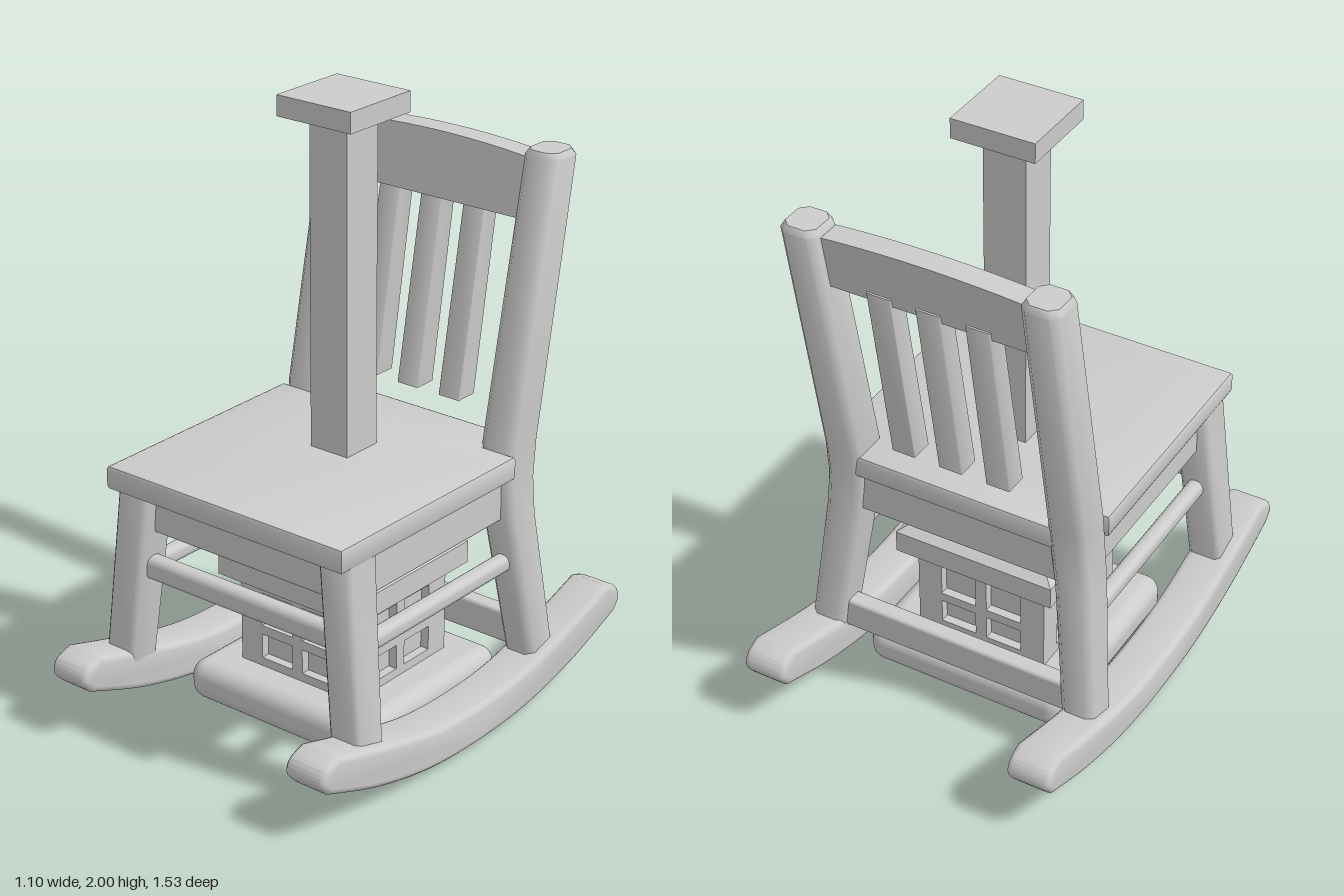
import * as THREE from 'three';
import { toCreasedNormals } from 'three/addons/utils/BufferGeometryUtils.js';
import { RoundedBoxGeometry } from 'three/addons/geometries/RoundedBoxGeometry.js';

const grey = new THREE.MeshStandardMaterial({ color: 0xcccccc });
grey.name = 'plain grey';

export function createModel() {
  const model = new THREE.Group();
  const chair = new THREE.Group();
  chair.name = 'rockingChair';
  const lamp = new THREE.Group();
  lamp.name = 'lampPost';
  model.add(chair, lamp);

  function add(parent, name, geometry, x = 0, y = 0, z = 0) {
    const mesh = new THREE.Mesh(geometry, grey);
    mesh.name = name;
    mesh.position.set(x, y, z);
    parent.add(mesh);
    return mesh;
  }

  const box = (w, h, d, r = 0.012) => new RoundedBoxGeometry(w, h, d, 2, r);

  // Upright bar through chamfered rectangles [y, x, z, width, depth], bottom to top
  function bar(sections, c) {
    const pos = [], index = [];
    const n = 8;
    for (const [y, x, z, w, d] of sections) {
      const a = w / 2, b = d / 2;
      const ring = [[a, b - c], [a, c - b], [a - c, -b], [c - a, -b],
        [-a, c - b], [-a, b - c], [c - a, b], [a - c, b]];
      for (const [px, pz] of ring) pos.push(x + px, y, z + pz);
    }
    for (let i = 0; i < sections.length - 1; i++) {
      for (let j = 0; j < n; j++) {
        const p = i * n + j, q = i * n + (j + 1) % n;
        index.push(p, q, p + n, q, q + n, p + n);
      }
    }
    const top = (sections.length - 1) * n;
    for (let j = 1; j < n - 1; j++) {
      index.push(0, j + 1, j, top, top + j, top + j + 1);
    }
    const g = new THREE.BufferGeometry();
    g.setAttribute('position', new THREE.Float32BufferAttribute(pos, 3));
    g.setIndex(index);
    return toCreasedNormals(g, 0.9);
  }

  // Seat board, notched around the back posts
  const seatShape = new THREE.Shape([
    [-0.45, -0.565], [0.45, -0.565], [0.455, 0.25], [0.335, 0.25],
    [0.335, 0.38], [-0.335, 0.38], [-0.335, 0.25], [-0.455, 0.25],
  ].map(([x, y]) => new THREE.Vector2(x, y)));
  const seat = new THREE.ExtrudeGeometry(seatShape, {
    depth: 0.056, bevelThickness: 0.012, bevelSize: 0.012, bevelSegments: 2,
  });
  seat.rotateX(-Math.PI / 2);
  add(chair, 'seat', toCreasedNormals(seat, 0.6), 0, 0.8, 0);

  // Rocker outline in z and y
  const v = ([x, y]) => new THREE.Vector2(x, y);
  const rockerShape = new THREE.Shape();
  rockerShape.moveTo(0.735, 0.165);
  rockerShape.splineThru([[0.768, 0.205], [0.75, 0.25], [0.69, 0.272]].map(v));
  rockerShape.splineThru([[0.45, 0.205], [0.22, 0.152], [0, 0.138], [-0.22, 0.152],
    [-0.45, 0.205], [-0.69, 0.278]].map(v));
  rockerShape.splineThru([[-0.745, 0.255], [-0.765, 0.21], [-0.735, 0.165]].map(v));
  rockerShape.splineThru([[-0.5, 0.08], [-0.25, 0.025], [0, 0.01], [0.25, 0.025],
    [0.5, 0.08], [0.735, 0.165]].map(v));
  const rocker = new THREE.ExtrudeGeometry(rockerShape, {
    depth: 0.11, bevelThickness: 0.02, bevelSize: 0.02, bevelOffset: -0.02,
    bevelSegments: 3, curveSegments: 24,
  });
  rocker.translate(0, 0, -0.055).rotateY(-Math.PI / 2);
  const rockerGeometry = toCreasedNormals(rocker, 0.7);

  for (const s of [1, -1]) {
    const side = s > 0 ? 'left' : 'right';
    add(chair, side + 'Rocker', rockerGeometry, s * 0.475, 0, 0);
    add(chair, side + 'FrontLeg', bar([
      [0.17, s * 0.46, 0.502, 0.115, 0.125],
      [0.81, s * 0.395, 0.47, 0.12, 0.14],
    ], 0.015), 0, 0, 0);
    // One piece forms the splayed back leg and the leaning back post
    add(chair, side + 'BackPost', bar([
      [0.15, s * 0.462, -0.375, 0.115, 0.135],
      [0.64, s * 0.408, -0.32, 0.125, 0.145],
      [0.76, s * 0.396, -0.32, 0.127, 0.15],
      [0.88, s * 0.393, -0.332, 0.127, 0.155],
      [1.765, s * 0.393, -0.507, 0.127, 0.135],
      [1.785, s * 0.393, -0.507, 0.105, 0.115],
    ], 0.024));
    add(chair, side + 'Apron', box(0.045, 0.16, 0.72), s * 0.405, 0.72, 0.07);
    add(chair, side + 'Rung', box(0.055, 0.06, 0.78, 0.024), s * 0.425, 0.49, 0.09);
  }

  // Cross pieces between the legs
  add(chair, 'frontApron', box(0.72, 0.16, 0.05), 0, 0.72, 0.465);
  add(chair, 'backApron', box(0.72, 0.16, 0.07), 0, 0.72, -0.33);
  add(chair, 'frontStretcher', box(0.78, 0.08, 0.06, 0.024), 0, 0.52, 0.485);
  add(chair, 'backStretcher', box(0.84, 0.11, 0.06), 0, 0.215, -0.37);

  // Leaning slats
  for (const x of [-0.168, -0.004, 0.16]) {
    add(chair, 'backSlat', bar([
      [0.96, x, -0.365, 0.08, 0.08],
      [1.6, x, -0.478, 0.08, 0.07],
    ], 0.002));
  }

  // Crowned top rail, sheared to follow the lean
  const railShape = new THREE.Shape();
  railShape.moveTo(-0.36, 1.57);
  railShape.lineTo(0.36, 1.57);
  railShape.lineTo(0.36, 1.755);
  railShape.quadraticCurveTo(0, 1.79, -0.36, 1.755);
  const rail = new THREE.ExtrudeGeometry(railShape, { depth: 0.08, bevelEnabled: false });
  const rp = rail.attributes.position;
  for (let i = 0; i < rp.count; i++) {
    rp.setZ(i, rp.getZ(i) - 0.5 - 0.2 * (rp.getY(i) - 1.57));
  }
  add(chair, 'topRail', toCreasedNormals(rail, 0.5));

  // Lamp post: square frustum helper using half widths
  function frustum(top, bottom, h) {
    const g = new THREE.CylinderGeometry(top * Math.SQRT2, bottom * Math.SQRT2, h, 4);
    g.rotateY(Math.PI / 4);
    return toCreasedNormals(g, 0.5);
  }
  add(lamp, 'base', new RoundedBoxGeometry(0.715, 0.135, 0.715, 4, 0.055), 0, 0.0685, 0);
  add(lamp, 'housing', new THREE.BoxGeometry(0.4, 0.31, 0.4), 0, 0.29, 0);

  // Four window frames around the housing
  const frame = new THREE.Shape([[-0.23, 0.13], [0.23, 0.13], [0.23, 0.445], [-0.23, 0.445]].map(v));
  for (const x of [-0.145, 0.02]) {
    for (const [y0, y1] of [[0.165, 0.248], [0.28, 0.395]]) {
      frame.holes.push(new THREE.Path(
        [[x, y0], [x, y1], [x + 0.125, y1], [x + 0.125, y0]].map(v)));
    }
  }
  const frameGeometry = new THREE.ExtrudeGeometry(frame, { depth: 0.03, bevelEnabled: false });
  frameGeometry.translate(0, 0, 0.2);
  for (let i = 0; i < 4; i++) {
    add(lamp, 'windowFrame', frameGeometry).rotation.y = i * Math.PI / 2;
  }

  // Stepped roof, column and cap
  add(lamp, 'eaves', new THREE.BoxGeometry(0.56, 0.075, 0.56), 0, 0.4775, 0);
  add(lamp, 'lowerRoof', frustum(0.21, 0.28, 0.05), 0, 0.54, 0);
  add(lamp, 'upperRoof', frustum(0.07, 0.21, 0.15), 0, 0.64, 0);
  for (const x of [-0.2, 0.2]) {
    for (const z of [-0.2, 0.2]) {
      add(lamp, 'roofCorner', new THREE.BoxGeometry(0.025, 0.05, 0.025), x, 0.575, z);
    }
  }
  add(lamp, 'column', new THREE.BoxGeometry(0.144, 1.29, 0.144), 0, 1.295, 0);
  add(lamp, 'cap', new THREE.BoxGeometry(0.28, 0.066, 0.28), 0, 1.967, 0);

  return model;
}
